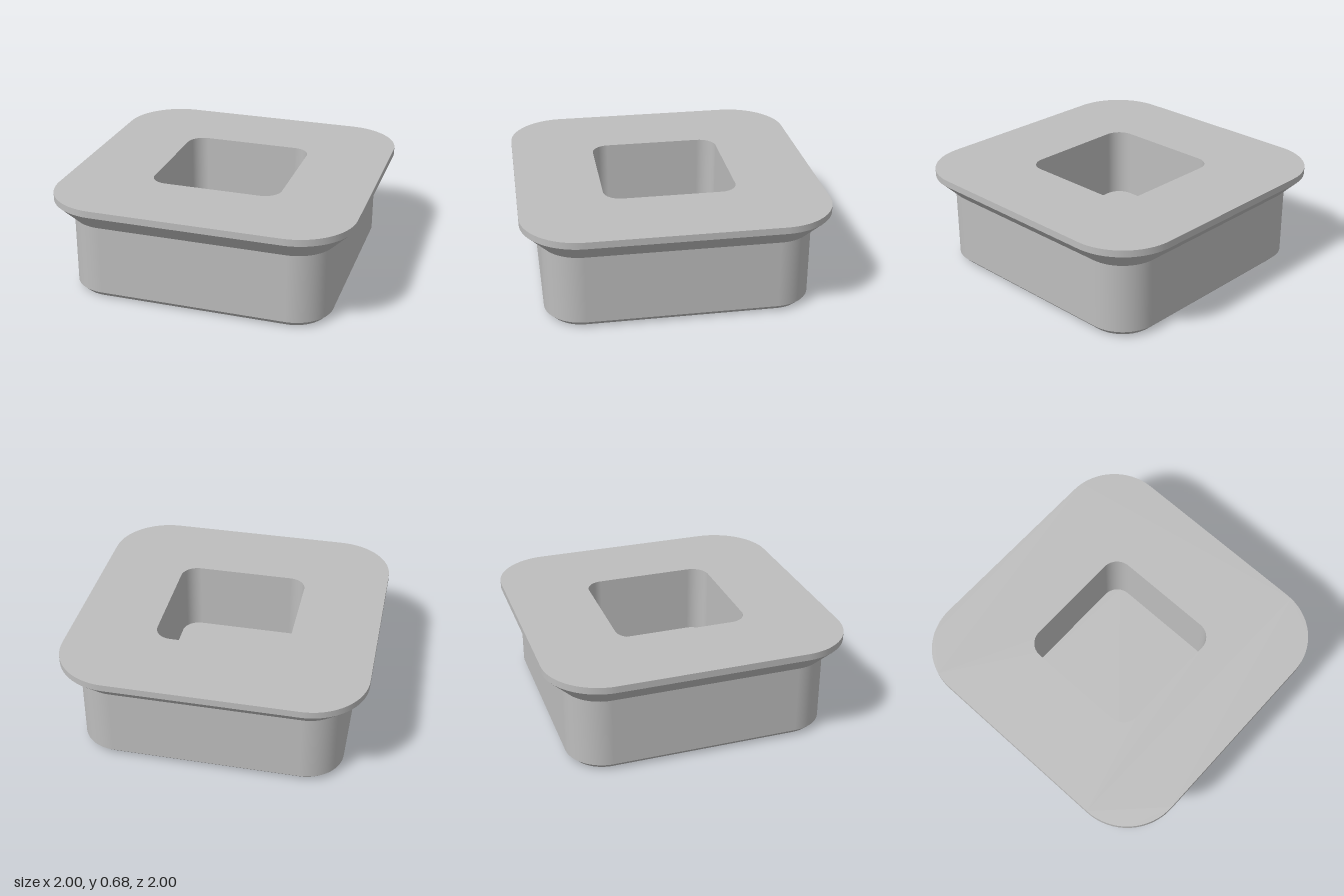
import * as THREE from 'three';
import { toCreasedNormals } from 'three/addons/utils/BufferGeometryUtils.js';

const grey = new THREE.MeshStandardMaterial({ color: 0xbdbdbd });
grey.name = 'grey';

// Rounded square in the xz plane: points and their outward directions
function ring(half, radius, steps = 16) {
  const pts = [], dirs = [];
  for (let k = 0; k < 4; k++) {
    const sx = k === 0 || k === 3 ? 1 : -1, sz = k < 2 ? 1 : -1;
    for (let i = 0; i <= steps; i++) {
      const a = (k + i / steps) * Math.PI / 2;
      const d = new THREE.Vector2(Math.cos(a), Math.sin(a));
      dirs.push(d);
      pts.push(new THREE.Vector2(
        sx * (half - radius) + radius * d.x,
        sz * (half - radius) + radius * d.y));
    }
  }
  return { pts, dirs };
}

// Wall joining two outlines; running it downward turns it inside out
function wall(p0, y0, p1, y1, dirs, slope = 0) {
  const pos = [], nor = [], idx = [], n = p0.length;
  const s = Math.sign(y1 - y0);
  for (let i = 0; i < n; i++) {
    pos.push(p0[i].x, y0, p0[i].y, p1[i].x, y1, p1[i].y);
    if (dirs) {
      const v = new THREE.Vector3(dirs[i].x * s, -slope, dirs[i].y * s).normalize();
      nor.push(v.x, v.y, v.z, v.x, v.y, v.z);
    }
    const a = 2 * i, b = 2 * ((i + 1) % n);
    idx.push(a, a + 1, b, a + 1, b + 1, b);
  }
  const g = new THREE.BufferGeometry();
  g.setAttribute('position', new THREE.Float32BufferAttribute(pos, 3));
  g.setIndex(idx);
  if (dirs) g.setAttribute('normal', new THREE.Float32BufferAttribute(nor, 3));
  return dirs ? g : toCreasedNormals(g, 0.5);
}

function band([h0, r0, y0], [h1, r1, y1]) {
  const a = ring(h0, r0), b = ring(h1, r1);
  return wall(a.pts, y0, b.pts, y1, a.dirs, (h1 - h0) / Math.abs(y1 - y0));
}

// Flat horizontal face, with an optional hole
function face(pts, y, up, hole) {
  const flip = p => new THREE.Vector2(p.x, up ? -p.y : p.y);
  const shape = new THREE.Shape(pts.map(flip));
  if (hole) shape.holes.push(new THREE.Path(hole.map(flip)));
  return new THREE.ShapeGeometry(shape).rotateX(up ? -Math.PI / 2 : Math.PI / 2).translate(0, y, 0);
}

// Curved arrow outline in x and z
function arrowOutline() {
  const cx = -0.19, cz = -0.085, outer = 0.275, inner = 0.138, steps = 24;
  const p = [[0.467, 0.12], [0.11, 0.325], [0.11, cz + outer]];
  const arc = (r, from, to) => {
    for (let i = 0; i <= steps; i++) {
      const a = from + (to - from) * i / steps;
      p.push([cx + r * Math.cos(a), cz + r * Math.sin(a)]);
    }
  };
  arc(outer, Math.PI / 2, Math.PI * 1.5);
  arc(inner, Math.PI * 1.5, Math.PI / 2);
  p.push([0.11, cz + inner], [0.11, -0.085]);
  return p.map(([x, z]) => new THREE.Vector2(x, z));
}

export function createModel() {
  const group = new THREE.Group();
  const add = (name, geometry) => {
    const m = new THREE.Mesh(geometry, grey);
    m.name = name;
    group.add(m);
  };

  // Outer sections: half width, corner radius, height
  const sections = [
    [0.835, 0.215, 0], [0.872, 0.252, 0.037], [0.872, 0.252, 0.503],
    [1, 0.38, 0.63], [1, 0.38, 0.675],
  ];
  ['bottomChamfer', 'body', 'flaredCollar', 'rim'].forEach((name, i) =>
    add(name, band(sections[i], sections[i + 1])));

  // Square pocket open at the top
  const top = 0.675, floor = 0.2, pocket = ring(0.44, 0.115).pts;
  add('topFace', face(ring(1, 0.38).pts, top, true, pocket));
  add('pocketWall', band([0.44, 0.115, top], [0.44, 0.115, floor]));
  add('pocketFloor', face(pocket, floor, true));

  // Underside with a sunken curved arrow
  const arrow = arrowOutline(), depth = 0.085;
  add('underside', face(ring(0.835, 0.215).pts, 0, false, arrow));
  add('arrowRecessWall', wall(arrow, depth, arrow, 0));
  add('arrowRecessFace', face(arrow, depth, false));

  return group;
}
